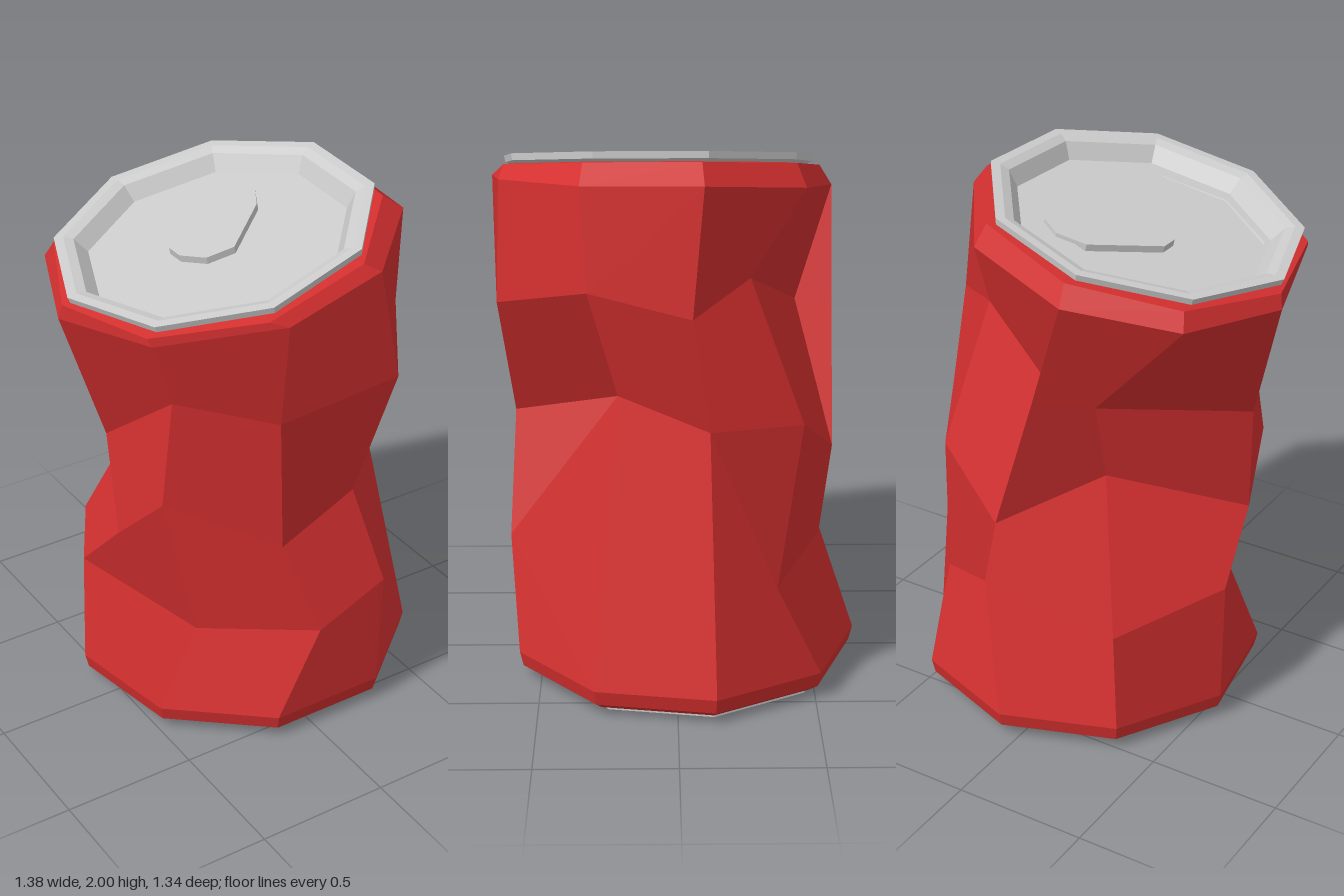
import * as THREE from 'three';

const SIDES = 9;
const STEP = (Math.PI * 2) / SIDES;
const TILT = 0.224;                                   // lean of the lid
const LID_TURN = -0.13;                               // twist of the lid
const LID_CENTRE = new THREE.Vector3(-0.113, 1.881, 0.066);

const red = new THREE.MeshStandardMaterial({ color: 0xd32f2f });
const grey = new THREE.MeshStandardMaterial({ color: 0xcccccc, flatShading: true });

// Regular nine-sided ring, starting at the back and running towards +x
function ring(r, y, turn = 0) {
  return Array.from({ length: SIDES }, (_, k) => {
    const a = k * STEP + turn;
    return new THREE.Vector3(r * Math.sin(a), y, -r * Math.cos(a));
  });
}
const baseRing = (r, y) => ring(r, y).map(p => p.add(new THREE.Vector3(0.06, 0, -0.025)));
const lidRing = (r, y, turn) => ring(r, y, turn)
  .map(p => p.applyAxisAngle(new THREE.Vector3(0, 0, 1), TILT).add(LID_CENTRE));
const crushed = rows => rows.map(p => new THREE.Vector3(...p));

// Skin a stack of rings with one flat normal per quad. The back column is
// doubled so that a fold can open beside it.
function skin(stack) {
  const rings = stack.map(r => (r.length === SIDES ? [r[0], ...r] : r));
  const count = SIDES + 1;
  const pos = [], nor = [];
  for (let i = 0; i < rings.length - 1; i++) {
    for (let k = 0; k < count; k++) {
      const n = (k + 1) % count;
      const a = rings[i][k], b = rings[i + 1][k], c = rings[i][n], d = rings[i + 1][n];
      const normal = b.clone().sub(c).cross(d.clone().sub(a)).normalize();
      const tri = (...pts) => {
        if (pts.some((p, j) => p.equals(pts[(j + 1) % 3]))) return;
        pts.forEach(p => { pos.push(...p.toArray()); nor.push(...normal.toArray()); });
      };
      if (a.distanceTo(d) < b.distanceTo(c)) { tri(a, b, d); tri(a, d, c); }
      else { tri(a, b, c); tri(b, d, c); }
    }
  }
  const g = new THREE.BufferGeometry();
  g.setAttribute('position', new THREE.Float32BufferAttribute(pos, 3));
  g.setAttribute('normal', new THREE.Float32BufferAttribute(nor, 3));
  return g;
}

function lathe(profile, start) {
  return new THREE.LatheGeometry(profile.map(p => new THREE.Vector2(...p)), SIDES, start);
}

function add(parent, name, geometry, material) {
  const m = new THREE.Mesh(geometry, material);
  m.name = name;
  parent.add(m);
  return m;
}

export function createModel() {
  const can = new THREE.Group();
  can.name = 'crushedCan';

  // Dented wall: clean rings at both ends, crumpled rings between.
  // Two columns on the +x side run unbroken from the middle to the base.
  const middle = crushed([
    [0.12, 0.85, -0.57], [0.42, 1.03, -0.445], [0.62, 1.07, -0.11],
    [0.27, 1.09, 0.21], [0.14, 1.00, 0.58], [-0.08, 0.77, 0.47],
    [-0.48, 1.00, 0.31], [-0.54, 0.79, 0.10], [-0.18, 1.01, -0.31]]);
  const lower = [
    ...crushed([[0.21, 0.55, -0.52], [0.49, 0.44, -0.355]]),
    middle[2], middle[3],
    ...crushed([
      [0.28, 0.57, 0.60], [0.01, 0.44, 0.59], [-0.34, 0.41, 0.30],
      [-0.57, 0.56, -0.12], [-0.34, 0.49, -0.52]])];
  // Sharp back ridge, with the pinched fold as its second point
  const upper = crushed([
    [-0.04, 1.36, -0.57], [-0.05, 1.36, -0.435], [0.34, 1.54, -0.255], [0.59, 1.46, -0.05],
    [0.50, 1.53, 0.31], [0.28, 1.44, 0.63], [-0.21, 1.41, 0.64],
    [-0.41, 1.37, 0.27], [-0.56, 1.20, 0.07], [-0.18, 1.31, -0.38]]);
  const shoulder = crushed([
    [-0.16, 1.76, -0.57], [0.26, 1.84, -0.45], [0.51, 1.90, -0.09],
    [0.50, 1.90, 0.33], [0.20, 1.86, 0.62], [-0.20, 1.79, 0.67],
    [-0.57, 1.71, 0.42], [-0.69, 1.66, 0.00], [-0.53, 1.69, -0.39]]);
  add(can, 'dentedWall', skin([
    baseRing(0.54, 0.014), baseRing(0.59, 0.018), baseRing(0.63, 0.045), baseRing(0.643, 0.1),
    lower, middle, upper, shoulder,
    lidRing(0.592, -0.037, -0.08), lidRing(0.53, -0.033, -0.08)]), red);

  // Recessed base with a thin standing rim
  const base = add(can, 'base', lathe(
    [[0, 0.012], [0.525, 0.012], [0.54, 0], [0.56, 0], [0.56, 0.02]], Math.PI), grey);
  base.position.set(0.067, 0, -0.033);

  // Tilted lid: narrow rim, sloping inner wall and sunken bottom
  const lid = new THREE.Group();
  lid.name = 'lid';
  lid.position.copy(LID_CENTRE);
  lid.rotation.z = TILT;
  can.add(lid);
  add(lid, 'lidPanel', lathe(
    [[0.53, -0.036], [0.57, -0.024], [0.575, 0], [0.54, 0], [0.505, -0.012], [0.465, -0.068],
      [0.45, -0.095], [0, -0.095]], Math.PI - LID_TURN), grey);

  // Flat plates lying in the lid, outlined in plan
  const local = pts => pts.map(([x, z]) => new THREE.Vector2(
    (x - LID_CENTRE.x) / Math.cos(TILT) - 0.016, LID_CENTRE.z - z));
  function plate(name, outline, holes, y, depth) {
    const shape = new THREE.Shape(outline);
    holes.forEach(h => shape.holes.push(new THREE.Path(local(h))));
    const m = add(lid, name,
      new THREE.ExtrudeGeometry(shape, { depth, bevelEnabled: false }), grey);
    m.rotation.x = -Math.PI / 2;
    m.position.y = y;
  }

  // Raised floor around an off-centre recess
  plate('lidFloor', ring(0.465, 0, LID_TURN).map(p => new THREE.Vector2(p.x, -p.z)), [[
    [-0.23, -0.29], [0.02, -0.23], [0.19, -0.02], [0.2, 0.25], [0.04, 0.43],
    [-0.21, 0.47], [-0.45, 0.32], [-0.53, 0.08], [-0.44, -0.17]]], -0.094, 0.026);

  // Pull tab with a rivet hole and a finger hole
  plate('pullTab', local([
    [-0.235, -0.02], [-0.05, -0.23], [0.06, -0.25], [0.14, -0.2], [0.17, -0.1],
    [0.12, -0.01], [-0.08, 0.155], [-0.18, 0.135], [-0.235, 0.05]]), [
    [[-0.21, -0.01], [-0.13, -0.08], [-0.06, -0.04], [-0.04, 0.04], [-0.1, 0.1], [-0.17, 0.08]],
    [[-0.08, -0.16], [-0.02, -0.21], [0.07, -0.2], [0.12, -0.15], [0.12, -0.06], [0.04, 0]],
  ], -0.08, 0.026);

  return can;
}
